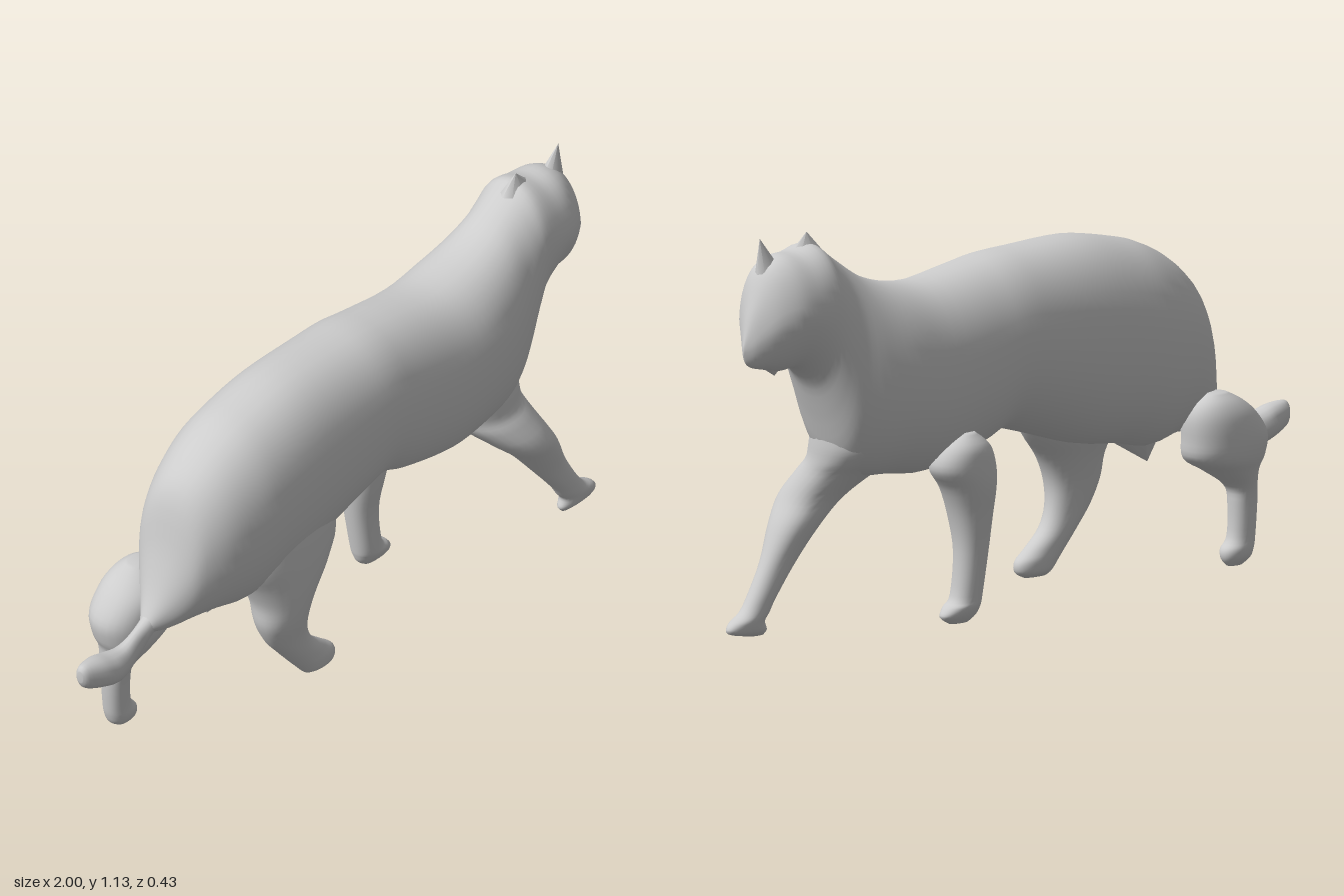
import * as THREE from 'three';

const grey = new THREE.MeshStandardMaterial({ color: 0xcccccc });
grey.name = 'plain grey';

// Catmull-Rom blend of one number through four neighbours
function blend(a, b, c, d, t) {
  return 0.5 * (2 * b + (c - a) * t + (2 * a - 5 * b + 4 * c - d) * t * t + (3 * b - a - 3 * c + d) * t * t * t);
}

// Skin through sections [position, min, max, zCentre, zHalf], in rising order of position.
// axis 'x': position is x and min/max are y. axis 'y': position is y and min/max are x.
// openEnd leaves the last section uncapped, for limbs that run into the body.
function loft(name, axis, sections, { sides = 28, openEnd = false, shapeZ = (s, up, z) => z } = {}) {
  const steps = 4;
  const rows = [];
  const n = sections.length;
  const at = (i) => sections[Math.min(n - 1, Math.max(0, i))];
  const collapsed = ([s, lo, hi, zc]) => [s, (lo + hi) / 2, (lo + hi) / 2, zc, 0];
  rows.push(collapsed(at(0)));
  for (let i = 0; i < n - 1; i++) {
    for (let k = 0; k < steps; k++) {
      rows.push(at(i).map((_, c) => blend(at(i - 1)[c], at(i)[c], at(i + 1)[c], at(i + 2)[c], k / steps)));
    }
  }
  rows.push(at(n - 1));
  if (!openEnd) rows.push(collapsed(at(n - 1)));

  const pos = [];
  const index = [];
  const round = (v) => Math.sign(v) * Math.abs(v) ** 0.92;
  for (const [s, lo, hi, zc, zh] of rows) {
    for (let j = 0; j < sides; j++) {
      const t = (j / sides) * Math.PI * 2;
      const up = round(Math.sin(t)) * (axis === 'x' ? 1 : -1);
      const m = (lo + hi) / 2 + ((hi - lo) / 2) * up;
      const z = shapeZ(s, up, zc + zh * round(Math.cos(t)));
      pos.push(...(axis === 'x' ? [s, m, z] : [m, s, z]));
    }
  }
  for (let i = 0; i < rows.length - 1; i++) {
    for (let j = 0; j < sides; j++) {
      const a = i * sides + j, b = i * sides + ((j + 1) % sides);
      index.push(a, a + sides, b, b, a + sides, b + sides);
    }
  }
  const geo = new THREE.BufferGeometry();
  geo.setAttribute('position', new THREE.Float32BufferAttribute(pos, 3));
  geo.setIndex(index);
  geo.computeVertexNormals();
  const mesh = new THREE.Mesh(geo, grey);
  mesh.name = name;
  return mesh;
}

// The head narrows towards chin and crown
function headShape(x, up, z) {
  const head = THREE.MathUtils.smoothstep(x, 0.72, 0.88);
  return z * (1 - head * (up < 0 ? -0.22 * up : 0.1 * up));
}

// Small pointed part, from base centre to tip
function spike(name, base, tip, rx, rz) {
  const from = new THREE.Vector3(...base), dir = new THREE.Vector3(...tip).sub(from);
  const geo = new THREE.ConeGeometry(1, 1, 8, 1, true).translate(0, 0.5, 0).scale(rx, dir.length(), rz);
  const mesh = new THREE.Mesh(geo, grey);
  mesh.name = name;
  mesh.quaternion.setFromUnitVectors(new THREE.Vector3(0, 1, 0), dir.normalize());
  mesh.position.copy(from);
  return mesh;
}

export function createModel() {
  const cat = new THREE.Group();
  cat.name = 'cat';

  // Rump, trunk, neck and head in one skin
  cat.add(loft('bodyAndHead', 'x', [
    [-0.74, 0.41, 0.44, 0, 0.015],
    [-0.70, 0.40, 0.52, 0, 0.05],
    [-0.66, 0.40, 0.64, 0, 0.09],
    [-0.62, 0.40, 0.80, 0, 0.125],
    [-0.55, 0.40, 0.885, 0.005, 0.16],
    [-0.45, 0.38, 0.945, 0.005, 0.187],
    [-0.35, 0.40, 0.975, 0.005, 0.195],
    [-0.20, 0.42, 1.00, 0.005, 0.195],
    [0.00, 0.48, 0.995, 0.005, 0.19],
    [0.10, 0.50, 0.99, 0.005, 0.187],
    [0.20, 0.46, 0.975, 0.005, 0.185],
    [0.37, 0.42, 0.95, 0.005, 0.187],
    [0.50, 0.43, 0.965, 0.005, 0.187],
    [0.60, 0.44, 1.00, 0.005, 0.17],
    [0.67, 0.49, 1.045, 0.005, 0.148],
    [0.72, 0.62, 1.08, 0.005, 0.137],
    [0.76, 0.715, 1.105, 0.005, 0.133],
    [0.82, 0.765, 1.09, 0.005, 0.132],
    [0.88, 0.765, 1.085, 0.005, 0.123],
    [0.93, 0.775, 1.05, 0.003, 0.09],
    [0.97, 0.785, 0.955, 0, 0.043],
    [0.99, 0.80, 0.885, 0, 0.016],
    [1.00, 0.825, 0.845, 0, 0.003],
  ], { sides: 36, shapeZ: headShape }));

  // Left foreleg, striding forward from the middle of the chest
  cat.add(loft('leftForeleg', 'y', [
    [0.005, 0.81, 0.86, 0.13, 0.01],
    [0.02, 0.80, 0.935, 0.13, 0.026],
    [0.045, 0.81, 0.93, 0.13, 0.033],
    [0.07, 0.795, 0.89, 0.13, 0.034],
    [0.11, 0.77, 0.86, 0.13, 0.035],
    [0.20, 0.70, 0.81, 0.13, 0.042],
    [0.30, 0.62, 0.765, 0.13, 0.07],
    [0.37, 0.55, 0.725, 0.125, 0.09],
    [0.44, 0.48, 0.70, 0.075, 0.105],
    [0.48, 0.45, 0.695, 0.035, 0.118],
    [0.53, 0.44, 0.695, 0.012, 0.135],
    [0.60, 0.46, 0.69, 0.005, 0.13],
  ], { openEnd: true }));

  // Right foreleg, standing
  cat.add(loft('rightForeleg', 'y', [
    [0.005, 0.275, 0.34, -0.11, 0.012],
    [0.025, 0.25, 0.37, -0.11, 0.03],
    [0.05, 0.24, 0.355, -0.11, 0.041],
    [0.08, 0.235, 0.325, -0.11, 0.042],
    [0.20, 0.22, 0.315, -0.115, 0.047],
    [0.30, 0.21, 0.33, -0.115, 0.062],
    [0.38, 0.205, 0.36, -0.12, 0.075],
    [0.44, 0.205, 0.40, -0.12, 0.08],
    [0.50, 0.23, 0.38, -0.125, 0.07],
    [0.54, 0.28, 0.33, -0.13, 0.03],
  ]));

  // Left hind leg, its thigh fading into the flank
  cat.add(loft('leftHindLeg', 'y', [
    [0.035, -0.22, -0.14, 0.12, 0.015],
    [0.05, -0.235, -0.115, 0.12, 0.035],
    [0.08, -0.26, -0.115, 0.12, 0.04],
    [0.11, -0.285, -0.15, 0.12, 0.04],
    [0.16, -0.325, -0.205, 0.12, 0.043],
    [0.22, -0.37, -0.23, 0.12, 0.05],
    [0.29, -0.40, -0.23, 0.12, 0.065],
    [0.36, -0.405, -0.20, 0.113, 0.08],
    [0.43, -0.43, -0.14, 0.10, 0.095],
    [0.50, -0.46, -0.10, 0.095, 0.097],
    [0.58, -0.45, -0.11, 0.10, 0.083],
    [0.64, -0.40, -0.16, 0.11, 0.065],
  ], { openEnd: true }));

  // Right hind leg with its bulging thigh
  cat.add(loft('rightHindLeg', 'y', [
    [0.03, -0.73, -0.68, -0.11, 0.015],
    [0.05, -0.755, -0.665, -0.11, 0.032],
    [0.075, -0.765, -0.665, -0.11, 0.038],
    [0.11, -0.77, -0.69, -0.11, 0.036],
    [0.20, -0.775, -0.695, -0.11, 0.04],
    [0.25, -0.77, -0.685, -0.11, 0.05],
    [0.30, -0.77, -0.61, -0.11, 0.075],
    [0.34, -0.785, -0.54, -0.115, 0.092],
    [0.40, -0.79, -0.53, -0.12, 0.095],
    [0.46, -0.75, -0.53, -0.12, 0.088],
    [0.50, -0.70, -0.55, -0.125, 0.062],
    [0.525, -0.65, -0.59, -0.13, 0.025],
  ]));

  // Tail, low and curling up at the end
  cat.add(loft('tail', 'x', [
    [-1.00, 0.385, 0.42, 0, 0.01],
    [-0.985, 0.36, 0.435, 0, 0.025],
    [-0.93, 0.335, 0.43, 0, 0.042],
    [-0.88, 0.322, 0.415, 0, 0.045],
    [-0.83, 0.32, 0.41, 0, 0.032],
    [-0.78, 0.345, 0.43, 0, 0.022],
    [-0.72, 0.40, 0.465, 0, 0.025],
    [-0.69, 0.41, 0.52, 0, 0.03],
  ], { sides: 16, openEnd: true }));

  // Ears on the crown, chin and belly tip
  cat.add(spike('rearEar', [0.76, 1.08, 0.008], [0.76, 1.135, 0.008], 0.055, 0.03));
  cat.add(spike('frontEar', [0.905, 1.05, 0.008], [0.932, 1.138, 0.008], 0.038, 0.028));
  cat.add(spike('chin', [0.89, 0.785, 0], [0.885, 0.752, 0], 0.04, 0.022));
  cat.add(spike('bellyTip', [-0.46, 0.41, 0.005], [-0.485, 0.33, 0], 0.075, 0.045));
  return cat;
}
